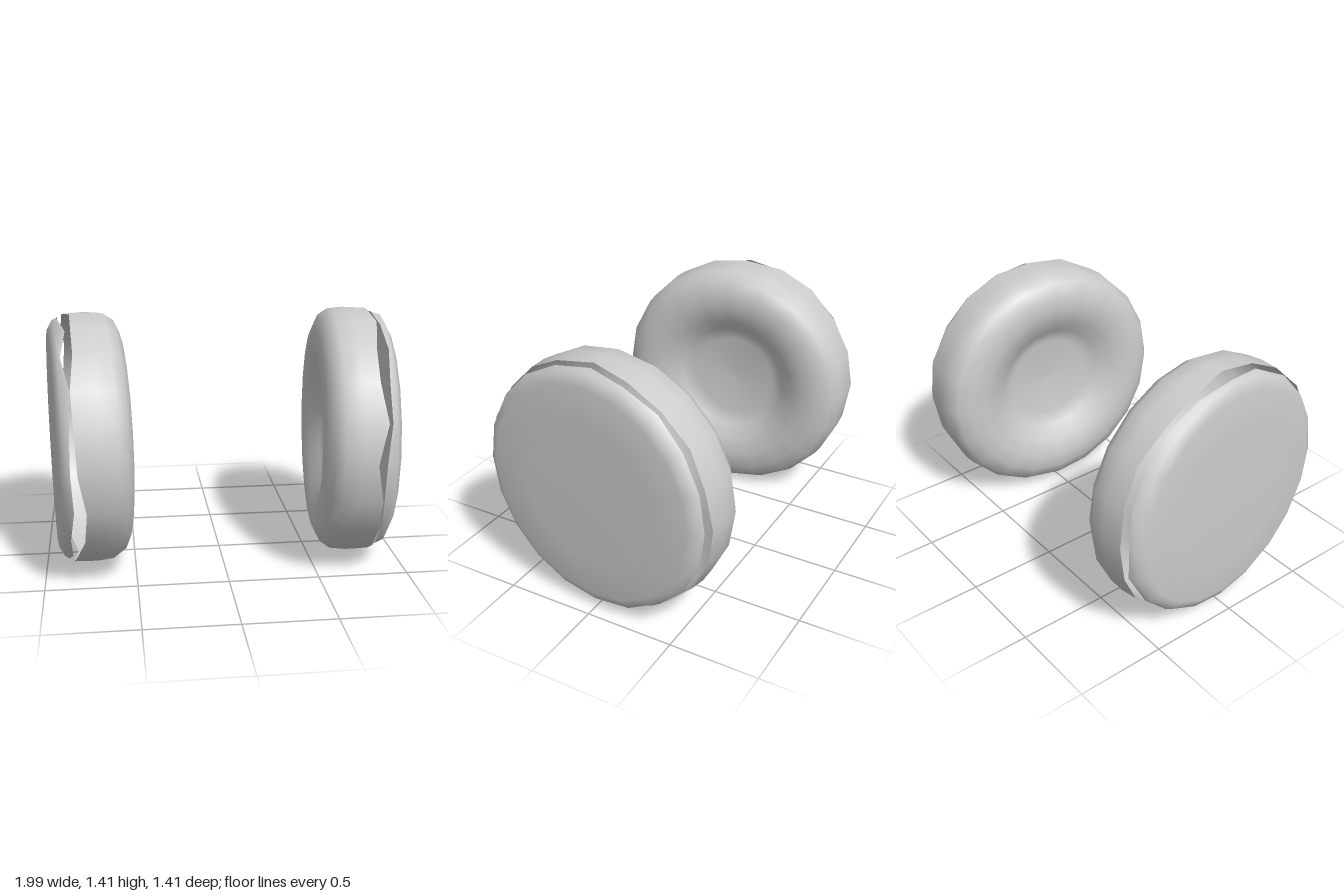
import * as THREE from 'three';

const SIDES = 20;
const RADIUS = 0.705;

// Profiles as [radius, distance along the axle], outer side positive
const TYRE = [[0, -0.07], [0.25, -0.08], [0.33, -0.12], [0.4, -0.175], [0.5, -0.205],
  [0.59, -0.197], [0.66, -0.165], [0.698, -0.11], [0.707, -0.02], [0.7, 0.09]];
const CAP = [[0.682, 0.13], [0.665, 0.165], [0.61, 0.195], [0.4, 0.2], [0, 0.2]];

function seeded(seed) {
  return () => (seed = (seed * 16807) % 2147483647) / 2147483647;
}

// Turned shell whose open rim (profile point rimIndex) is left ragged
function raggedShell(name, profile, rimIndex, amount, seed) {
  const geo = new THREE.LatheGeometry(profile.map(([r, a]) => new THREE.Vector2(r, a)), SIDES);
  const random = seeded(seed);
  const offsets = Array.from({ length: SIDES }, () => (random() - 0.5) * 2 * amount);
  const pos = geo.attributes.position;
  for (let i = 0; i <= SIDES; i++) {
    const v = i * profile.length + rimIndex;
    pos.setY(v, pos.getY(v) + offsets[i % SIDES]);
  }
  geo.rotateZ(-Math.PI / 2);
  const mesh = new THREE.Mesh(geo, new THREE.MeshStandardMaterial({ color: 0xcccccc, side: THREE.DoubleSide }));
  mesh.name = name;
  return mesh;
}

function wheel(side, seed) {
  const group = new THREE.Group();
  group.name = side > 0 ? 'leftWheel' : 'rightWheel';
  group.add(raggedShell('tyre', TYRE, TYRE.length - 1, 0.03, seed));
  group.add(raggedShell('outerCap', CAP, 0, 0.02, seed + 71));
  // Slight toe-in, mirrored across the middle
  group.scale.x = side;
  group.rotation.y = -0.083 * side;
  group.position.set(0.75 * side, RADIUS, 0);
  return group;
}

export function createModel() {
  const model = new THREE.Group();
  model.name = 'wheelPair';
  model.add(wheel(1, 4711), wheel(-1, 90210));
  return model;
}
